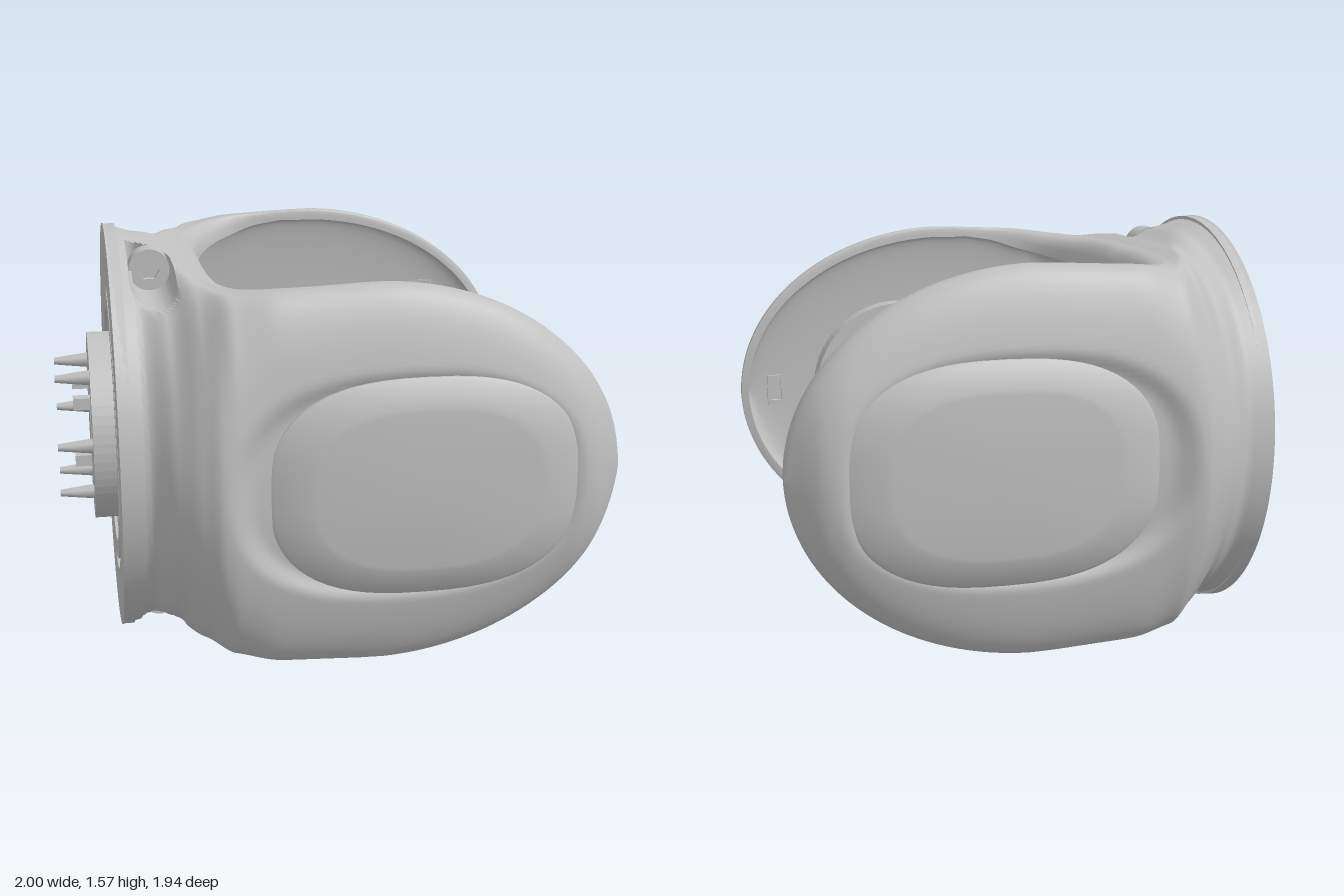
import * as THREE from 'three';
import { toCreasedNormals } from 'three/addons/utils/BufferGeometryUtils.js';

const CY = 0.795; // height of the main axis

// Smooth monotone interpolation through [x, value] points
function curve(pts) {
  const slope = i => (pts[i + 1][1] - pts[i][1]) / (pts[i + 1][0] - pts[i][0]);
  const tangent = i => {
    if (i === 0) return slope(0);
    if (i === pts.length - 1) return slope(i - 1);
    const a = slope(i - 1), b = slope(i);
    return a * b <= 0 ? 0 : Math.sign(a) * Math.min(Math.abs(a), Math.abs(b));
  };
  return x => {
    if (x <= pts[0][0]) return pts[0][1];
    if (x >= pts[pts.length - 1][0]) return pts[pts.length - 1][1];
    let i = 0;
    while (x > pts[i + 1][0]) i++;
    const h = pts[i + 1][0] - pts[i][0], t = (x - pts[i][0]) / h, t2 = t * t, t3 = t2 * t;
    return (2 * t3 - 3 * t2 + 1) * pts[i][1] + (t3 - 2 * t2 + t) * h * tangent(i)
      + (3 * t2 - 2 * t3) * pts[i + 1][1] + (t3 - t2) * h * tangent(i + 1);
  };
}

// Outer shell: half width, half height and start of the flat top, along x
const outW = curve([[-0.79, 0.785], [-0.7, 0.785], [-0.6, 0.875], [-0.52, 0.935], [-0.45, 0.968], [-0.25, 0.95], [0.8, 0.935], [0.86, 0.92], [1, 0.8]]);
const outC = curve([[-0.79, 0], [-0.7, 0.02], [-0.6, 0.16], [-0.5, 0.5], [-0.4, 0.72], [-0.25, 0.78], [1, 0.78]]);
const neckH = curve([[-0.79, 0.785], [-0.65, 0.735], [-0.55, 0.69], [-0.45, 0.662], [-0.2, 0.685], [0.1, 0.7]]);
const outH = x => x < 0.1 ? neckH(x) : 0.7 * Math.sqrt(Math.max(0, 1 - ((x - 0.1) / 0.9) ** 2));
// Hollow inside
const inW = curve([[-0.72, 0.67], [-0.6, 0.75], [-0.45, 0.8], [1, 0.8]]);
const inC = curve([[-0.72, 0.05], [-0.6, 0.4], [-0.45, 0.7], [-0.3, 0.75], [1, 0.75]]);
const inH = curve([[-0.72, 0.585], [-0.68, 0.562], [-0.41, 0.56], [-0.25, 0.595], [-0.1, 0.64], [0, 0.656]]);

// Stations along the fork: outer x, outer cut z, inner x, inner cut z
function stations() {
  const list = [];
  for (let i = 0; i < 32; i++) {
    const t = i / 32;
    list.push({ x: -0.79 + 0.29 * t, z: 0, xi: -0.72 + 0.31 * t, zi: 0, h: null });
  }
  const open = list.length;
  for (let i = 0; i <= 30; i++) {
    const a = i / 30 * Math.PI / 2, c = Math.max(0, Math.cos(a)) ** 0.625, s = Math.sin(a) ** 0.625;
    list.push({ x: -0.5 * c, z: 0.755 * s, xi: -0.41 * c, zi: 0.747 * s, h: null });
  }
  for (let i = 0; i <= 36; i++) {
    const x = i === 0 ? 0.05 : 0.1 + 0.9 * Math.sin(i / 36 * Math.PI / 2);
    list.push({ x, z: 0.755, xi: x * 0.97, zi: 0.747, h: outH(x) * 0.938 });
  }
  return { list, open };
}

// Surface from a grid of points
function gridGeometry(rows) {
  const pos = [], idx = [], n = rows[0].length;
  rows.forEach(r => r.forEach(p => pos.push(...p)));
  for (let i = 0; i < rows.length - 1; i++) {
    for (let j = 0; j < n - 1; j++) {
      const a = i * n + j, b = a + n;
      idx.push(a, b, a + 1, b, b + 1, a + 1);
    }
  }
  const g = new THREE.BufferGeometry();
  g.setAttribute('position', new THREE.Float32BufferAttribute(pos, 3));
  g.setIndex(idx);
  return toCreasedNormals(g, 0.6);
}

// Section arc from the lower cut, round the side, to the upper cut
function section(w, c, h, cut, nArc, nFlat, shape) {
  const half = [];
  for (let j = 0; j <= nArc; j++) {
    const f = j / nArc * Math.PI / 2;
    half.push([h * Math.sin(f), c + (w - c) * Math.cos(f)]);
  }
  for (let j = 1; j <= nFlat; j++) half.push([h, c + (cut - c) * j / nFlat]);
  const up = half.map(p => shape(p[0], p[1]));
  return [...up.slice(1).reverse().map(p => [-p[0], p[1]]), ...up];
}

export function createModel() {
  const root = new THREE.Group();
  const grey = new THREE.MeshStandardMaterial({ color: 0xc0c0c0, side: THREE.DoubleSide });
  grey.name = 'light grey';
  const add = (name, geo, parent = root) => {
    const m = new THREE.Mesh(geo, grey);
    m.name = name;
    parent.add(m);
    return m;
  };
  const { list, open } = stations();

  // Fork shell: one half per arm
  for (const side of [1, -1]) {
    const place = x => p => [x, CY + p[0], side * p[1]];
    const outer = list.map(s => section(outW(s.x), outC(s.x), outH(s.x), s.z, 46, 12, (y, z) => {
      // shallow recess round the pad
      const d = (Math.abs((s.x - 0.2) / 0.64) ** 2.5 + Math.abs(y / 0.42) ** 2.5) ** 0.4;
      if (z > 0.8) z -= 0.035 * (1 - THREE.MathUtils.smoothstep(d, 0.84, 1));
      // screw pocket in the neck
      const dx = s.x + 0.635;
      if (side > 0 && Math.abs(dx) < 0.08 && z > 0.14) y = Math.min(y, 0.655 - Math.sqrt(0.0064 - dx * dx));
      return [y, z];
    }).map(place(s.x)));
    const inner = list.map(s => section(inW(s.xi), inC(s.xi), s.h ?? inH(s.xi), s.zi, 14, 8, (y, z) => [y, z]).map(place(s.xi)));
    add('forkShell', gridGeometry(outer));
    add('forkHollow', gridGeometry(inner));
    // rounded lip joining shell and hollow
    for (const top of [true, false]) {
      const rows = [];
      for (let i = open; i < list.length; i++) {
        const o = top ? outer[i].at(-1) : outer[i][0], n = top ? inner[i].at(-1) : inner[i][0];
        const k = [n[0], o[1], n[2]];
        rows.push([0, 0.25, 0.5, 0.75, 1].map(t => o.map((v, q) =>
          (1 - t) ** 2 * v + 2 * t * (1 - t) * k[q] + t * t * n[q])));
      }
      add('forkLip', gridGeometry(rows));
    }
    // oval pad on the outside of the arm
    const rings = [[1, 0.87], [1, 0.913], [0.97, 0.924], [0.76, 0.953], [0.72, 0.956], [0.001, 0.958]];
    add('sidePad', gridGeometry(rings.map(([k, z]) => {
      const ring = [];
      for (let j = 0; j <= 64; j++) {
        const a = j / 64 * Math.PI * 2, c = Math.cos(a), s = Math.sin(a);
        ring.push([0.26 + 0.555 * k * Math.sign(c) * Math.abs(c) ** 0.77,
          CY + 0.395 * k * Math.sign(s) * Math.abs(s) ** 0.77, side * z]);
      }
      return ring;
    })));
  }

  // Round plates, drawn in a local plane and extruded along local +z
  const disc = r => new THREE.Shape().absarc(0, 0, r, 0, Math.PI * 2);
  const hole = r => new THREE.Path().absarc(0, 0, r, 0, Math.PI * 2, true);
  const extrude = (shape, depth) => new THREE.ExtrudeGeometry(shape, { depth, bevelEnabled: false, curveSegments: 32 });
  const cutHole = () => new THREE.Path().absarc(0, 0, 0.115, -1.92, 1.92).closePath();
  const slot = () => {
    const p = new THREE.Path();
    p.absarc(0, 0, 0.57, -1.56, 1.56);
    p.absarc(0, 0, 0.53, 1.56, -1.56, true);
    return p.closePath();
  };

  // Flange: local x is model +z, local z is model -x
  const flange = new THREE.Group();
  flange.name = 'flange';
  flange.rotation.y = -Math.PI / 2;
  flange.position.set(-0.79, CY, 0);
  root.add(flange);
  const rim = disc(0.783), floor = disc(0.69), hub = disc(0.365);
  rim.holes.push(hole(0.46), slot());
  floor.holes.push(cutHole(), slot());
  hub.holes.push(cutHole());
  add('flangeRim', extrude(rim, 0.045), flange).position.z = -0.045;
  add('flangeFloor', extrude(floor, 0.045), flange).position.z = -0.09;
  add('flangeHub', extrude(hub, 0.125), flange).position.z = -0.045;
  const collar = disc(0.43);
  collar.holes.push(hole(0.39));
  add('flangeCollar', extrude(collar, 0.035), flange).position.z = -0.045;

  // Six tapered contact pins and a few short blocks on a hub
  function pins(parent, z, length, turn) {
    for (let i = 0; i < 6; i++) {
      const a = i * Math.PI / 3 + turn;
      const pin = add('contactPin', new THREE.CylinderGeometry(0.014, 0.03, length, 6), parent);
      pin.rotation.x = Math.PI / 2;
      pin.position.set(0.265 * Math.cos(a), 0.265 * Math.sin(a), z + length / 2);
    }
    for (const a of [0.75, 2.4, 4.2]) {
      add('contactBlock', new THREE.BoxGeometry(0.05, 0.045, 0.07), parent)
        .position.set(0.2 * Math.cos(a), 0.2 * Math.sin(a), z + 0.03);
    }
  }
  pins(flange, 0.08, 0.13, 0);

  // Hub inside the front arm, facing the back
  const armHub = new THREE.Group();
  armHub.name = 'armHub';
  armHub.rotation.y = Math.PI;
  armHub.position.set(0.305, CY, 0.805);
  root.add(armHub);
  const plate = disc(0.375);
  plate.holes.push(hole(0.1));
  add('armHubPlate', extrude(plate, 0.1), armHub);
  pins(armHub, 0.095, 0.17, Math.PI / 6);
  add('hubBracket', new THREE.BoxGeometry(0.06, 0.26, 0.06), armHub).position.set(0.3, -0.06, 0.13);

  // Cover and catches inside the back arm
  const cover = add('armCover', extrude(disc(0.26), 0.012));
  cover.position.set(0.38, CY, -0.802);
  const wedge = new THREE.Shape([[0.2, 0.06], [-0.17, 0], [0.2, -0.06]].map(p => new THREE.Vector2(...p)));
  add('coverWedge', extrude(wedge, 0.01)).position.set(0.36, CY, -0.791);
  for (const side of [1, -1]) {
    for (const [x, y, w, h] of [[0.85, 0, 0.07, 0.13], [0.66, 0.33, 0.09, 0.06], [0.66, -0.33, 0.09, 0.06], [0, 0, 0.04, 0.04]]) {
      if (side > 0 && x < 0.8) continue;
      const frame = new THREE.Shape([[-w, -h], [w, -h], [w, h], [-w, h]].map(p => new THREE.Vector2(p[0] / 2, p[1] / 2)));
      frame.holes.push(new THREE.Path([[-w, -h], [-w, h], [w, h], [w, -h]].map(p => new THREE.Vector2(p[0] * 0.34, p[1] * 0.34))));
      add('catchFrame', extrude(frame, 0.02)).position.set(x, CY + y, side * 0.793 - 0.01);
    }
  }

  // Socket screws: two in the neck pockets, two on the flange floor
  function screw(r, depth) {
    const head = disc(r), hex = new THREE.Path();
    for (let i = 0; i < 6; i++) {
      const a = -i * Math.PI / 3, x = r * 0.52 * Math.cos(a), y = r * 0.52 * Math.sin(a);
      i ? hex.lineTo(x, y) : hex.moveTo(x, y);
    }
    head.holes.push(hex.closePath());
    const g = new THREE.Group();
    g.name = 'socketScrew';
    add('screwHead', extrude(head, depth), g);
    add('screwSocketFloor', extrude(disc(r * 0.9), depth * 0.7), g);
    root.add(g);
    return g;
  }
  for (const s of [1, -1]) {
    screw(0.076, 0.09).position.set(-0.635, CY + s * 0.655, 0.13);
    const inside = screw(0.065, 0.06);
    inside.rotation.y = Math.PI / 2;
    inside.position.set(-0.71, CY + s * 0.23, 0.13);
  }
  return root;
}
